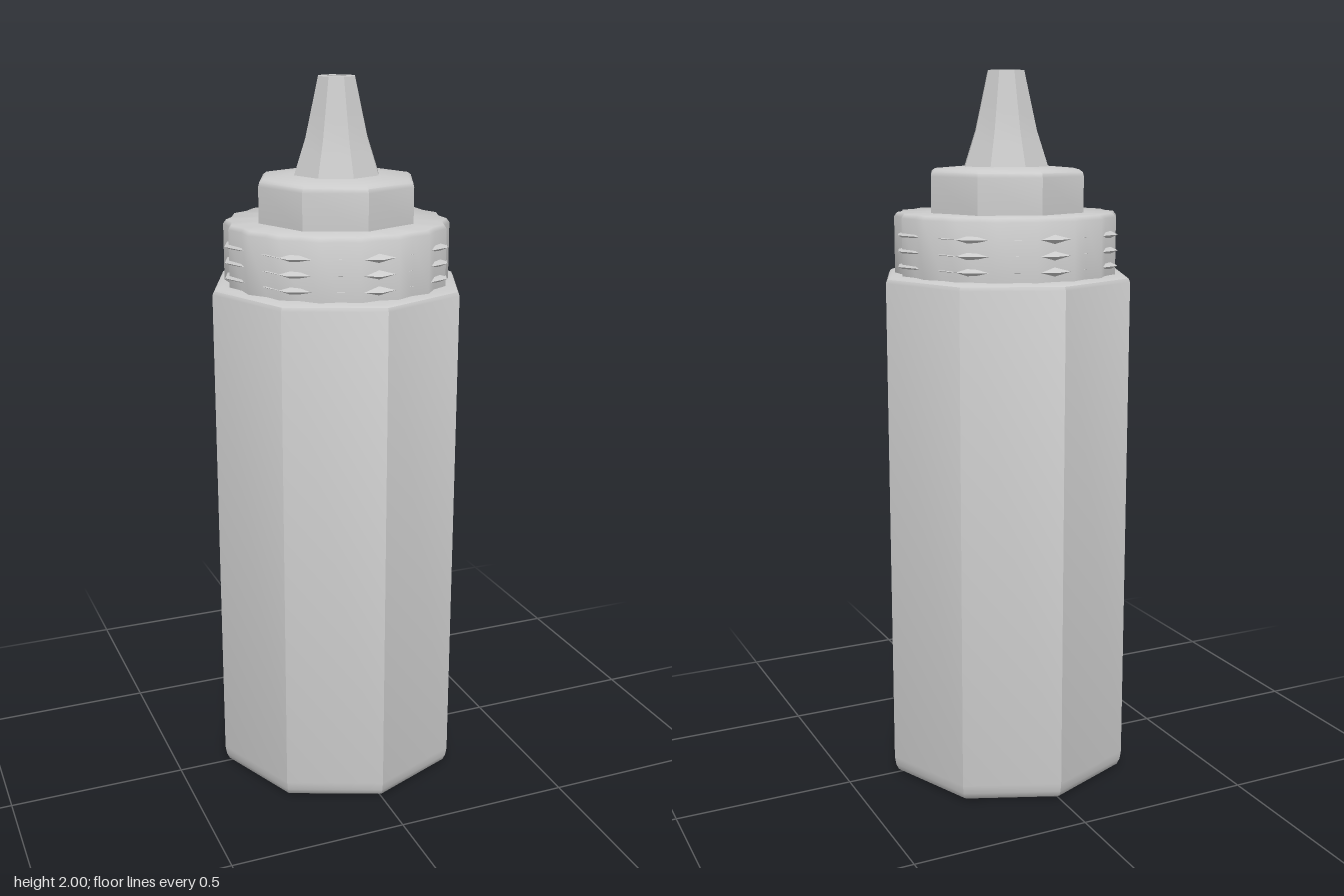
import * as THREE from 'three';
import { toCreasedNormals } from 'three/addons/utils/BufferGeometryUtils.js';

const material = new THREE.MeshStandardMaterial({ color: 0xcccccc });

// Turn a [radius, height] profile (listed bottom to top) into a faceted solid
function lathe(profile, sides = 8) {
  return new THREE.LatheGeometry(profile.map(([r, y]) => new THREE.Vector2(r, y)), sides);
}

function part(name, geometry, creaseDegrees = 40) {
  const mesh = new THREE.Mesh(toCreasedNormals(geometry, THREE.MathUtils.degToRad(creaseDegrees)), material);
  mesh.name = name;
  return mesh;
}

// Screw collar: a lathe whose outer wall alternates between peaks and dips
function collarGeometry() {
  const profile = [[0.27, 1.452], [0.297, 1.452], [0.297, 1.608], [0.289, 1.619], [0.15, 1.621]];
  const geometry = lathe(profile, 36);
  const pos = geometry.attributes.position;
  for (let k = 0; k < pos.count; k++) {
    const column = Math.floor(k / profile.length);
    const row = k % profile.length;
    if (column % 2 === 1 && row >= 1 && row <= 3) {
      pos.setX(k, pos.getX(k) * 1.047);
      pos.setZ(k, pos.getZ(k) * 1.047);
    }
  }
  return geometry;
}

export function createModel() {
  const group = new THREE.Group();
  group.name = 'squeezeBottle';

  // Octagonal bottle with softened base edge, dimpled bottom and flat shoulder
  group.add(part('bottleBody', lathe([
    [0, 0.012], [0.025, 0.004], [0.06, 0.003], [0.335, 0], [0.348, 0.008], [0.356, 0.025], [0.36, 0.05],
    [0.36, 1.435], [0.355, 1.445], [0.343, 1.45], [0.28, 1.453], [0.28, 1.6],
  ])));

  // Neck threads, whose corners poke through the collar
  [1.478, 1.52, 1.563].forEach((y, i) => {
    group.add(part(`neckThread${i + 1}`, lathe([[0.28, y - 0.02], [0.323, y], [0.28, y + 0.02]])));
  });

  group.add(part('capCollar', collarGeometry(), 55));

  // Raised octagonal step on the cap
  group.add(part('capStep', lathe([
    [0.225, 1.615], [0.225, 1.718], [0.222, 1.729], [0.212, 1.736], [0.1, 1.745],
  ])));

  // Flared nozzle with an open bore
  group.add(part('nozzle', lathe([
    [0.124, 1.74], [0.107, 1.79], [0.09, 1.84], [0.076, 1.9], [0.053, 2],
    [0.028, 2], [0.028, 1.8], [0, 1.8],
  ])));

  return group;
}
